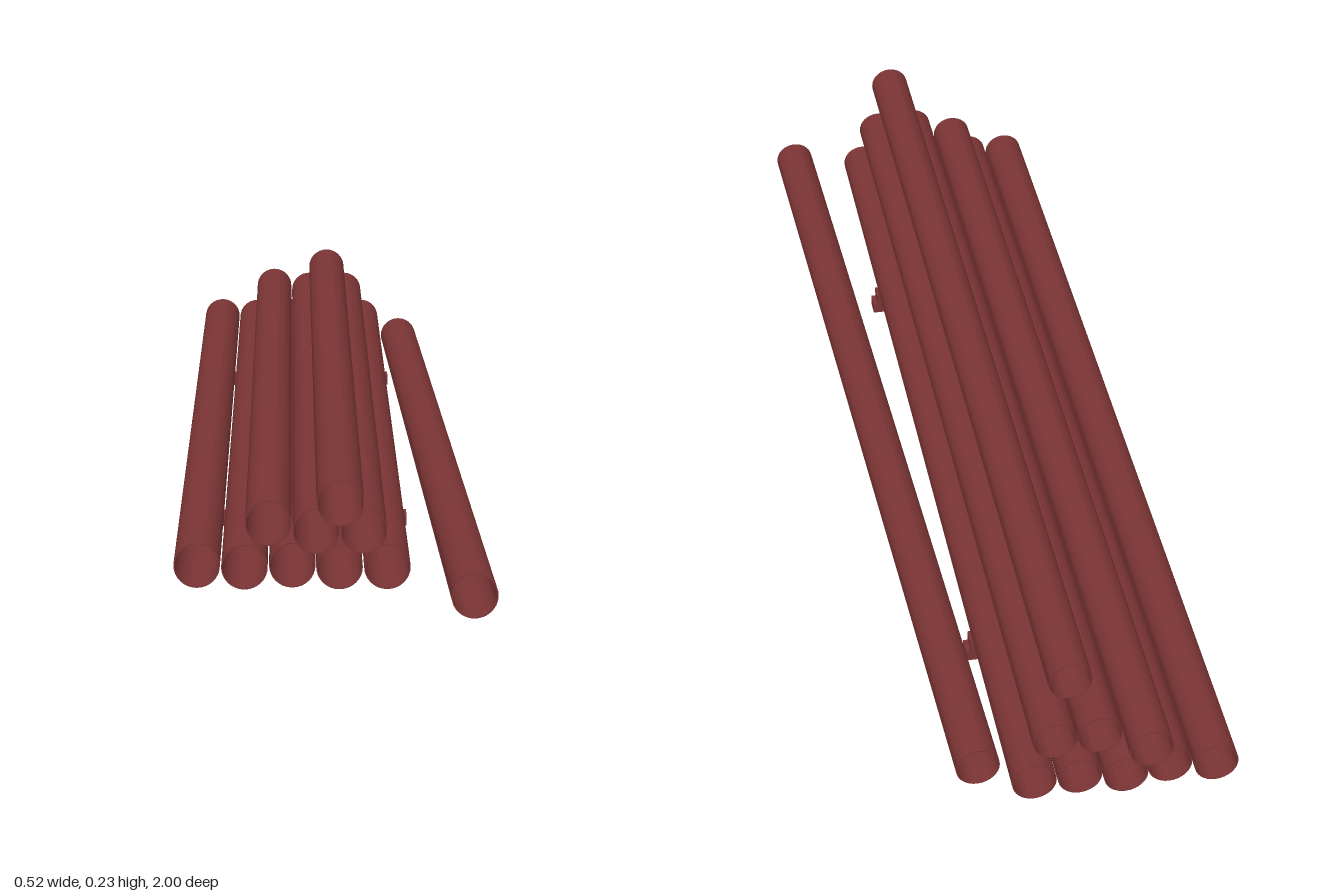
import * as THREE from 'three';
import { toCreasedNormals } from 'three/addons/utils/BufferGeometryUtils.js';

const LENGTH = 1.888, OUTER = 0.037, INNER = 0.0352;

export function createModel() {
  const model = new THREE.Group();
  model.name = 'pipeStack';
  const rust = new THREE.MeshStandardMaterial({ color: 0x7b3434 });
  rust.name = 'rustRed';

  // Hollow pipe along z, with rims at both ends
  const h = LENGTH / 2;
  const profile = [[OUTER, -h], [OUTER, h], [INNER, h], [INNER, -h], [OUTER, -h]]
    .map(([x, y]) => new THREE.Vector2(x, y));
  const pipeGeometry = toCreasedNormals(new THREE.LatheGeometry(profile, 32), 0.6);
  pipeGeometry.rotateX(Math.PI / 2);

  function addPipe(name, x, y, z, yaw = 0) {
    const pipe = new THREE.Mesh(pipeGeometry, rust);
    pipe.name = name;
    pipe.position.set(x, y, z);
    pipe.rotation.y = yaw;
    model.add(pipe);
  }

  // Stacked rows: height, then x and z centre of each pipe
  const rows = [
    ['bottomPipe', 0.0625, [[-0.218, -0.042], [-0.142, -0.032], [-0.066, -0.042], [0.009, -0.032], [0.085, -0.032]]],
    ['middlePipe', 0.1275, [[-0.104, -0.056], [-0.028, -0.011], [0.047, -0.011]]],
    ['topPipe', 0.192, [[0.009, 0.056]]],
  ];
  for (const [name, y, pipes] of rows) {
    pipes.forEach(([x, z], i) => addPipe(name + (i + 1), x, y, z));
  }

  // Loose pipe lying askew on the ground
  addPipe('loosePipe', 0.1925, OUTER, 0.043, 0.0292);

  // Bearers with a sloped chock near each end
  const depth = 0.03;
  const barGeometry = new THREE.BoxGeometry(0.391, 0.021, depth);
  const chockShape = (x, side) => new THREE.Shape(
    [[0, 0], [0.02, 0], [0.02, 0.008], [0.004, 0.02], [0, 0.02]]
      .map(([dx, dy]) => new THREE.Vector2(x + side * dx, 0.024 + dy)));
  const chockGeometry = new THREE.ExtrudeGeometry(
    [chockShape(-0.257, 1), chockShape(0.124, -1)], { depth, bevelEnabled: false });
  chockGeometry.translate(0, 0, -depth / 2);

  for (const z of [-0.59, 0.46]) {
    const bearer = new THREE.Group();
    bearer.name = z < 0 ? 'backBearer' : 'frontBearer';
    const bar = new THREE.Mesh(barGeometry, rust);
    bar.name = 'bar';
    bar.position.set(-0.0635, 0.0142, 0);
    const chocks = new THREE.Mesh(chockGeometry, rust);
    chocks.name = 'chocks';
    bearer.add(bar, chocks);
    bearer.position.z = z;
    model.add(bearer);
  }
  return model;
}
